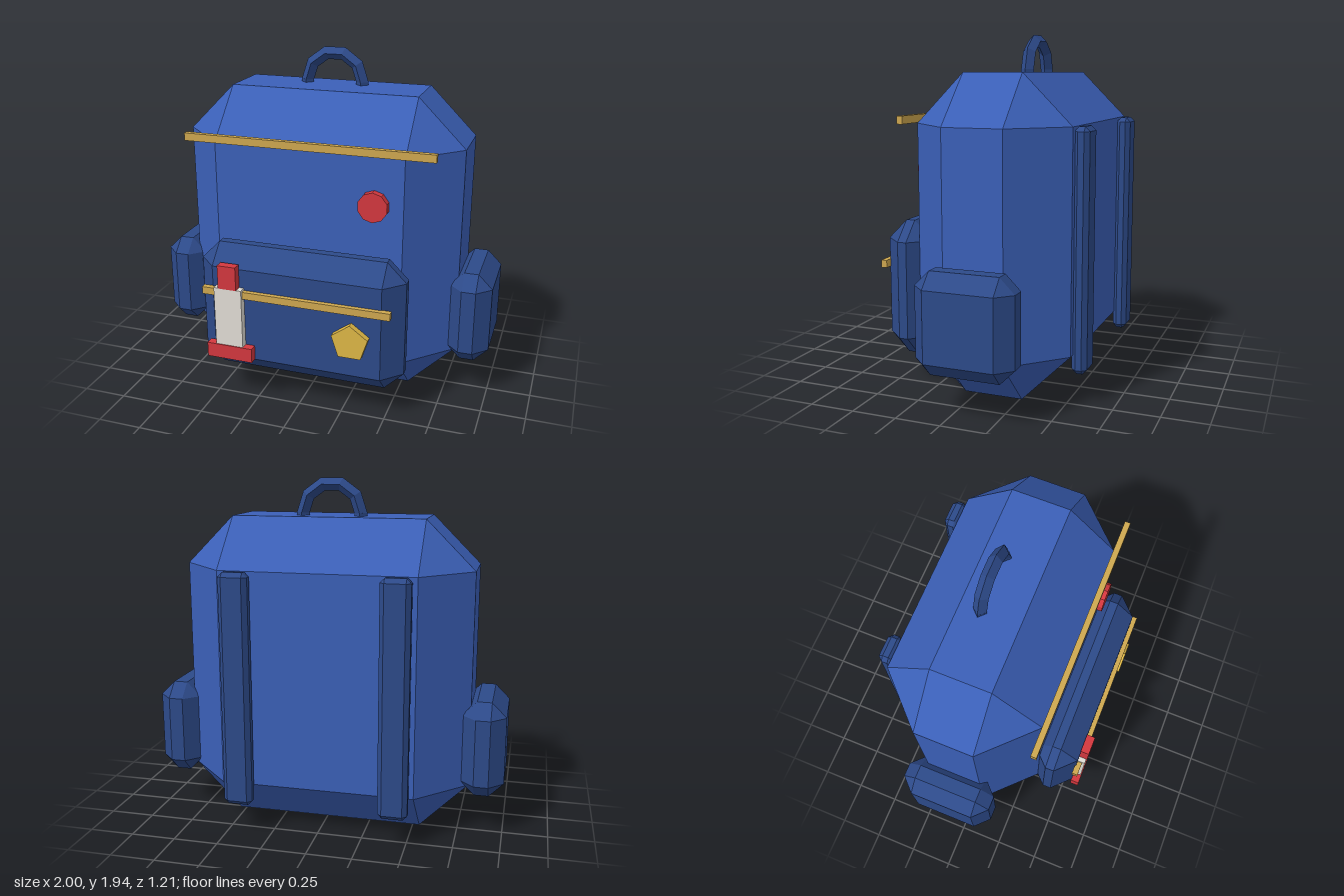
import * as THREE from 'three';
import { ConvexGeometry } from 'three/addons/geometries/ConvexGeometry.js';

function material(name, color) {
  const m = new THREE.MeshStandardMaterial({ color, flatShading: true });
  m.name = name;
  return m;
}

// Box from min to max corner with every edge cut at 45 degrees
function chamferBox(min, max, c) {
  const half = [0, 1, 2].map(i => (max[i] - min[i]) / 2);
  const mid = new THREE.Vector3(...min).add(new THREE.Vector3(...max)).multiplyScalar(0.5);
  const points = [];
  for (const sx of [-1, 1]) for (const sy of [-1, 1]) for (const sz of [-1, 1]) {
    for (let axis = 0; axis < 3; axis++) {
      const h = half.map((v, i) => (i === axis ? v : v - c));
      points.push(new THREE.Vector3(sx * h[0], sy * h[1], sz * h[2]).add(mid));
    }
  }
  return new ConvexGeometry(points);
}

// Plain box from min to max corner
function box(min, max) {
  const g = new THREE.BoxGeometry(max[0] - min[0], max[1] - min[1], max[2] - min[2]);
  return g.translate((min[0] + max[0]) / 2, (min[1] + max[1]) / 2, (min[2] + max[2]) / 2);
}

// Flat polygon badge facing the front, with one corner pointing up
function badge(x, y, z0, z1, radius, sides) {
  const g = new THREE.CylinderGeometry(radius, radius, z1 - z0, sides);
  return g.rotateX(-Math.PI / 2).translate(x, y, (z0 + z1) / 2);
}

export function createModel() {
  const group = new THREE.Group();
  group.name = 'backpack';
  const blue = material('blue fabric', 0x3b60b8);
  const navy = material('navy fabric', 0x2d4a8a);
  const brass = material('brass zip', 0xcfa850);
  const gold = material('gold badge', 0xdeb746);
  const red = material('red', 0xd4383f);
  const cream = material('pale grey', 0xe2ded6);

  const add = (name, geometry, mat) => {
    const mesh = new THREE.Mesh(geometry, mat);
    mesh.name = name;
    group.add(mesh);
    return mesh;
  };

  // Main bag and front pocket
  add('body', chamferBox([-0.806, 0, -0.53], [0.806, 1.732, 0.337], 0.269), blue);
  add('frontPocket', chamferBox([-0.592, 0.165, 0.285], [0.592, 0.924, 0.552], 0.108), navy);

  // Side pockets and shoulder straps
  for (const [side, s] of [['left', 1], ['right', -1]]) {
    const pocket = chamferBox([-0.121, 0.224, -0.37], [0.121, 0.763, 0.17], 0.081);
    add(side + 'Pocket', pocket.translate(s * 0.879, 0, 0), navy);
    const strap = chamferBox([-0.081, 0.166, -0.605], [0.081, 1.463, -0.522], 0.025);
    add(side + 'Strap', strap.translate(s * 0.432, 0, 0), navy);
  }

  // Carrying handle: half ring with a diamond section
  const handleGeometry = new THREE.TorusGeometry(0.163, 0.037, 4, 5, Math.PI);
  const handle = add('handle', handleGeometry.translate(0, 1.747, -0.15), navy);
  handle.material = navy;
  // Short legs join the half ring to the bag
  for (const s of [-1, 1]) {
    const leg = new THREE.CylinderGeometry(0.037, 0.037, 0.03, 4);
    add('handleFoot', leg.translate(s * 0.163, 1.734, -0.15), navy);
  }

  // Zips
  add('upperZip', box([-0.705, 1.466, 0.337], [0.705, 1.509, 0.369]), brass);
  add('pocketZip', box([-0.538, 0.653, 0.545], [0.538, 0.695, 0.579]), brass);

  // Badges
  add('roundBadge', badge(0.377, 1.194, 0.33, 0.38, 0.084, 10), red);
  add('pentagonBadge', badge(0.321, 0.489, 0.545, 0.59, 0.107, 5), gold);

  // Tower patch
  add('towerBase', box([-0.513, 0.275, 0.55], [-0.244, 0.36, 0.6]), red);
  add('towerShaft', box([-0.46, 0.36, 0.55], [-0.298, 0.708, 0.595]), cream);
  add('towerTop', box([-0.432, 0.708, 0.55], [-0.325, 0.845, 0.6]), red);

  return group;
}
